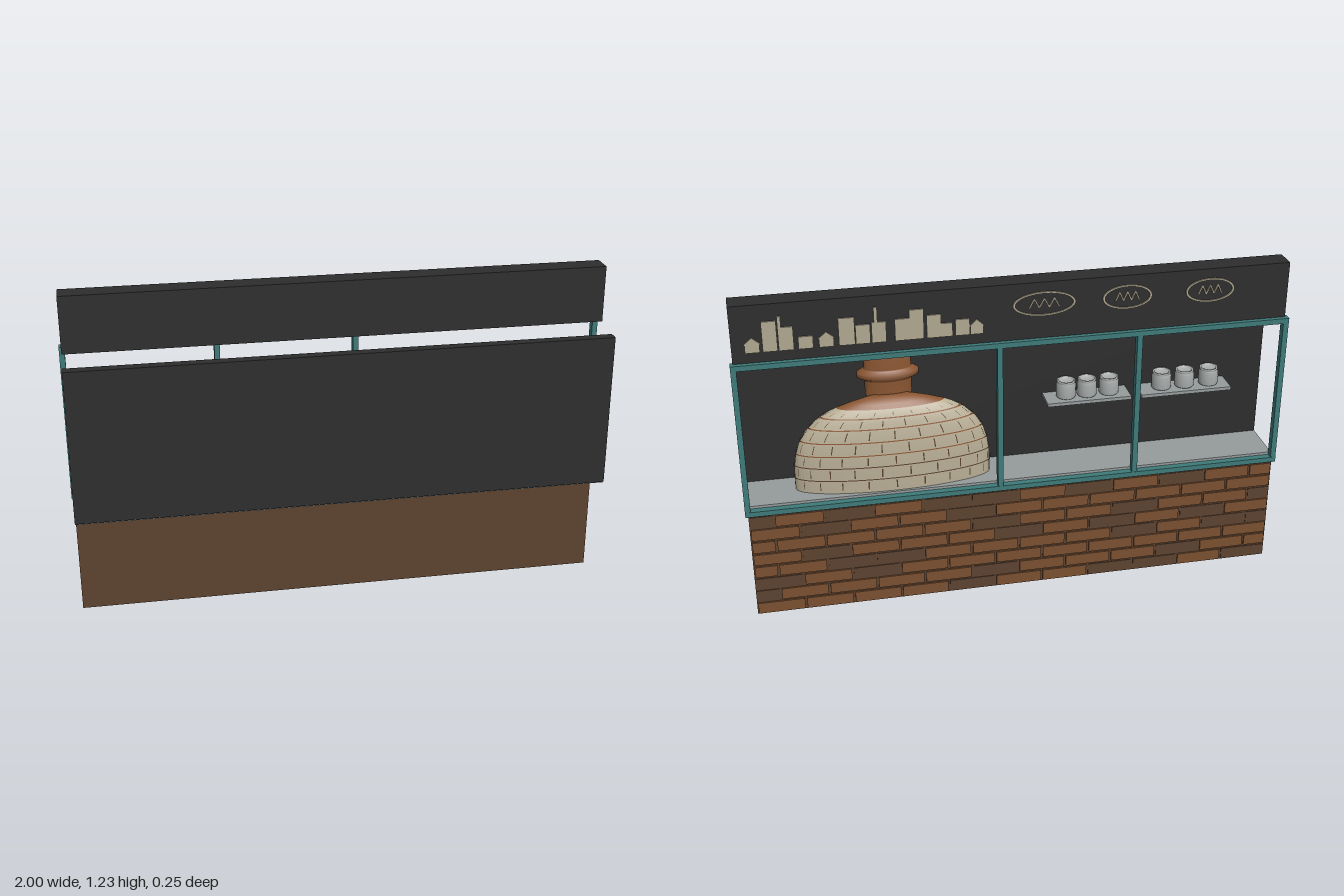
import * as THREE from 'three';

const mat = (name, color, side = THREE.FrontSide) => {
  const m = new THREE.MeshStandardMaterial({ color, side });
  m.name = name;
  return m;
};

export function createModel() {
  const charcoal = mat('charcoal', 0x2d2d2d);
  const darkBrown = mat('dark brown', 0x5d4330, THREE.DoubleSide);
  const brickBrown = mat('brick brown', 0x7a5030);
  const teal = mat('teal', 0x3f7a7a);
  const steel = mat('steel grey', 0x969c9c);
  const cream = mat('stone cream', 0xb8ae96, THREE.DoubleSide);
  const terracotta = mat('terracotta', 0x8a5632, THREE.DoubleSide);
  const cupGrey = mat('cup grey', 0xa8abab, THREE.DoubleSide);
  const tan = mat('sign tan', 0xb0a78f);

  const model = new THREE.Group();
  const group = (name, parent = model) => {
    const g = new THREE.Group();
    g.name = name;
    parent.add(g);
    return g;
  };
  const add = (name, geometry, material, parent = model) => {
    const m = new THREE.Mesh(geometry, material);
    m.name = name;
    parent.add(m);
    return m;
  };
  // Box given by its limits on each axis
  const box = (name, material, [x0, x1], [y0, y1], [z0, z1], parent = model) => {
    const m = add(name, new THREE.BoxGeometry(x1 - x0, y1 - y0, z1 - z0), material, parent);
    m.position.set((x0 + x1) / 2, (y0 + y1) / 2, (z0 + z1) / 2);
    return m;
  };
  const lathe = (pts, seg = 48, start = 0, length = Math.PI * 2) =>
    new THREE.LatheGeometry(pts.map(p => new THREE.Vector2(...p)), seg, start, length);

  // Main slabs
  box('counterWall', darkBrown, [-0.99, 0.99], [0, 0.42], [-0.108, -0.015]);
  box('countertop', steel, [-0.99, 0.99], [0.42, 0.455], [-0.095, 0.119]);
  box('rearPanel', charcoal, [-0.99, 0.99], [0.425, 1.005], [0.085, 0.124]);
  box('signBoard', charcoal, [-0.99, 0.99], [1.018, 1.23], [-0.103, -0.02]);

  // Staggered bricks on the back of the counter, in two tones
  const bricks = group('bricks');
  let seed = 7;
  const rand = () => (seed = (seed * 16807) % 2147483647) / 2147483647;
  const rows = 8, rowH = 0.42 / rows, brickW = 0.18, gap = 0.004;
  for (let r = 0; r < rows; r++) {
    for (let x = -0.99 - (r % 2) * brickW / 2; x < 0.98; x += brickW) {
      const x0 = Math.max(x, -0.99) + gap, x1 = Math.min(x + brickW, 0.99) - gap;
      const dark = rand() < 0.35;
      box('brick', dark ? darkBrown : brickBrown, [x0, x1],
        [r * rowH + gap, (r + 1) * rowH - gap], [dark ? -0.111 : -0.114, -0.106], bricks);
    }
  }

  // Window frame
  const frame = group('windowFrame');
  for (const x of [-0.99, -0.44, 0.07, 0.99])
    box('framePost', teal, [x - 0.01, x + 0.01], [0.425, 1.02], [-0.12, -0.092], frame);
  for (const y of [0.435, 1.01])
    box('frameRail', teal, [-1, 1], [y - 0.01, y + 0.01], [-0.121, -0.091], frame);

  // Oven: a flattened dome with banded masonry
  const oven = group('oven');
  oven.position.x = 0.45;
  const dome = group('dome', oven);
  dome.scale.z = 0.24;
  const profile = [[0.36, 0.455], [0.36, 0.54], [0.353, 0.59], [0.338, 0.64],
    [0.312, 0.685], [0.272, 0.725], [0.235, 0.75], [0.195, 0.768]];
  const radiusAt = y => {
    const i = Math.max(1, profile.findIndex(p => p[1] >= y));
    const [a, b] = [profile[i - 1], profile[i]];
    return THREE.MathUtils.lerp(a[0], b[0], (y - a[1]) / (b[1] - a[1]));
  };
  const strip = (y0, y1, out) => [0, 0.5, 1].map(t => {
    const y = THREE.MathUtils.lerp(y0, y1, t);
    return [radiusAt(y) + out, y + out * 0.5];
  });
  add('domeShell', lathe(profile), cream, dome);
  add('domeCap', lathe([[0.2, 0.765], [0.15, 0.782], [0.085, 0.8], [0, 0.801]]), terracotta, dome);
  const courses = [0.458, 0.505, 0.555, 0.602, 0.652, 0.7, 0.738, 0.765];
  courses.slice(0, -1).forEach((y, i) => {
    const top = courses[i + 1];
    if (i > 0) add('masonryBand', lathe(strip(y - 0.002, y + 0.002, 0.004)),
      i > 2 ? terracotta : darkBrown, dome);
    const n = 22;
    for (let k = 0; k < n; k++) {
      const phi = (k + (i % 2) / 2) * Math.PI * 2 / n;
      add('masonryJoint', lathe(strip(y + 0.008, top - 0.008, 0.004), 1, phi, 0.014), darkBrown, dome);
    }
  });

  // Oval chimney with a collar
  const chimney = add('chimney', lathe([[0.085, 0.79], [0.085, 0.848], [0.09, 0.852], [0.112, 0.862],
    [0.112, 0.88], [0.092, 0.892], [0.085, 0.895], [0.085, 0.975], [0.07, 0.975], [0.07, 0.965], [0, 0.965]]),
    terracotta, oven);
  chimney.scale.z = 0.48;
  chimney.position.z = 0.045;

  // Wall shelves with cups
  const cupGeo = lathe([[0, 0], [0.034, 0], [0.037, 0.006], [0.037, 0.052], [0.031, 0.058],
    [0.034, 0.062], [0.034, 0.068], [0.027, 0.068], [0.027, 0.058], [0, 0.058]], 24);
  for (const [x0, x1, cups] of [[-0.84, -0.49, [-0.765, -0.67, -0.58]],
    [-0.45, -0.13, [-0.375, -0.29, -0.21]]]) {
    const shelf = group('cupShelf');
    box('shelfBoard', steel, [x0, x1], [0.695, 0.708], [-0.012, 0.086], shelf);
    for (const x of cups) add('cup', cupGeo, cupGrey, shelf).position.set(x, 0.708, 0.04);
  }

  // Skyline on the sign: [x, width, height, has pitched roof]
  const skyline = group('skyline');
  const z = [-0.108, -0.102], base = 1.058;
  for (const [x, w, h, roof] of [
    [0.92, 0.05, 0.03, 1], [0.86, 0.05, 0.11], [0.805, 0.05, 0.085], [0.825, 0.012, 0.125],
    [0.74, 0.05, 0.045], [0.67, 0.05, 0.03, 1], [0.6, 0.055, 0.1], [0.545, 0.05, 0.07],
    [0.5, 0.012, 0.13], [0.49, 0.05, 0.075], [0.41, 0.05, 0.08], [0.36, 0.05, 0.11],
    [0.3, 0.05, 0.085], [0.255, 0.04, 0.05], [0.2, 0.05, 0.06], [0.15, 0.045, 0.03, 1]]) {
    box('skylineBlock', tan, [x - w / 2, x + w / 2], [base, base + h], z, skyline);
    if (!roof) continue;
    const s = new THREE.Shape([[-0.6 * w, 0], [0.6 * w, 0], [0, 0.025]].map(p => new THREE.Vector2(...p)));
    add('skylineRoof', new THREE.ExtrudeGeometry(s, { depth: 0.006, bevelEnabled: false }), tan, skyline)
      .position.set(x, base + h, z[0]);
  }

  // Oval emblems with a zigzag
  for (const [x, a] of [[-0.09, 0.112], [-0.39, 0.09], [-0.695, 0.09]]) {
    const emblem = group('emblem');
    emblem.position.set(x, 1.15, -0.108);
    const ring = new THREE.Shape().absellipse(0, 0, a, 0.045, 0, Math.PI * 2);
    ring.holes.push(new THREE.Path().absellipse(0, 0, a - 0.008, 0.039, 0, Math.PI * 2, true));
    add('emblemRing', new THREE.ExtrudeGeometry(ring, { depth: 0.006, bevelEnabled: false, curveSegments: 32 }), tan, emblem);
    const px = i => (i - 3) * a * 0.16, py = i => (i % 2 ? 0.018 : -0.016);
    for (let i = 0; i < 6; i++) {
      const dx = px(i + 1) - px(i), dy = py(i + 1) - py(i);
      const bar = add('zigzagBar', new THREE.BoxGeometry(Math.hypot(dx, dy), 0.005, 0.006), tan, emblem);
      bar.position.set(px(i) + dx / 2, py(i) + dy / 2 + 0.002, 0.003);
      bar.rotation.z = Math.atan2(dy, dx);
    }
  }
  return model;
}
